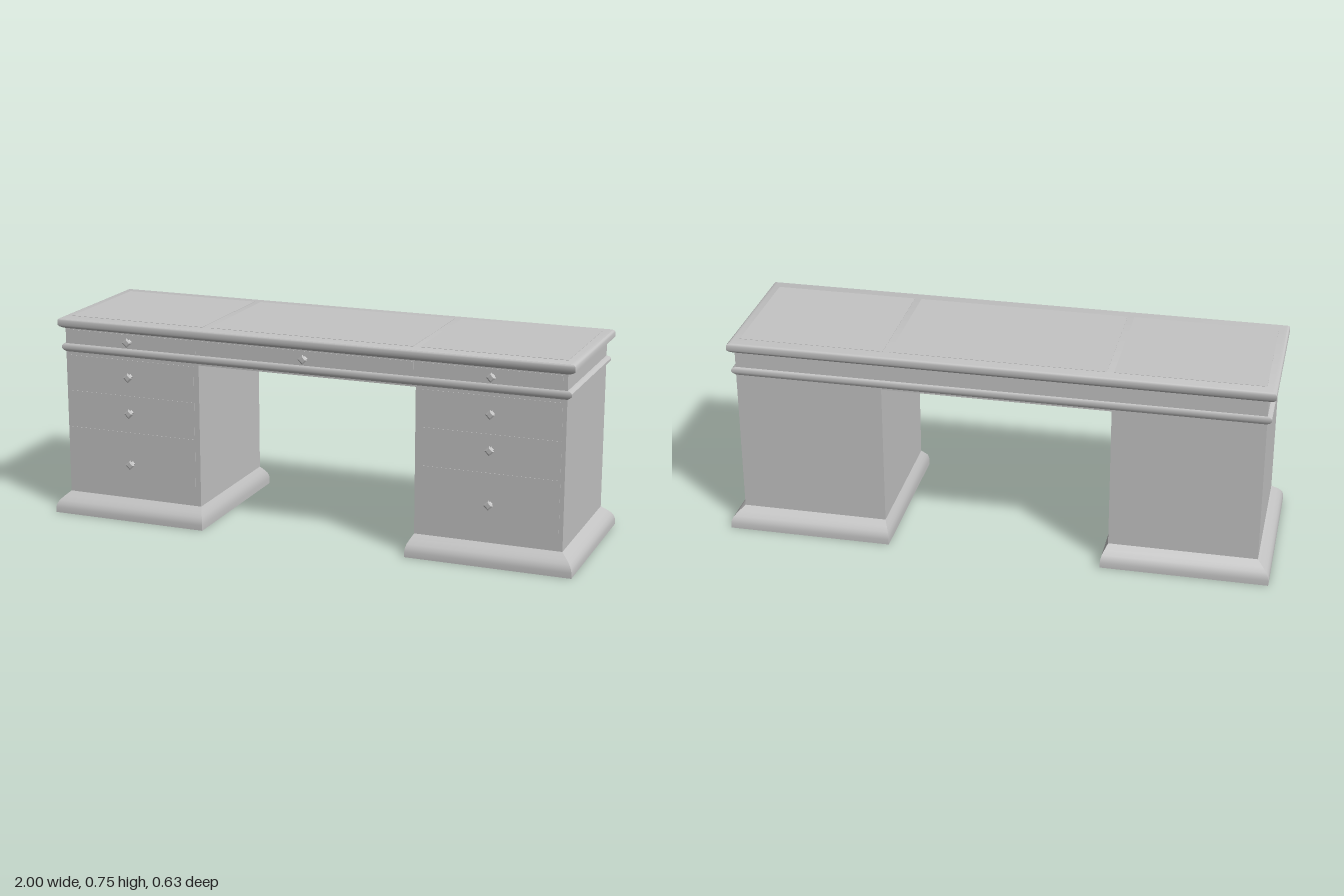
import * as THREE from 'three';
import { toCreasedNormals } from 'three/addons/utils/BufferGeometryUtils.js';

// Rectangular solid lofted through rings [y, x0, x1, z0, z1], with mitred corners.
function loft(rings) {
  const pos = [], idx = [];
  for (const [y, x0, x1, z0, z1] of rings) {
    pos.push(x0, y, z1, x1, y, z1, x1, y, z0, x0, y, z0);
  }
  for (let r = 0; r < rings.length - 1; r++) {
    for (let i = 0; i < 4; i++) {
      const a = r * 4 + i, b = r * 4 + (i + 1) % 4;
      idx.push(a, b, b + 4, a, b + 4, a + 4);
    }
  }
  const t = (rings.length - 1) * 4;
  idx.push(0, 2, 1, 0, 3, 2, t, t + 1, t + 2, t, t + 2, t + 3);
  const g = new THREE.BufferGeometry();
  g.setAttribute('position', new THREE.Float32BufferAttribute(pos, 3));
  g.setIndex(idx);
  return toCreasedNormals(g, 0.65);
}

export function createModel() {
  const desk = new THREE.Group();
  desk.name = 'pedestalDesk';
  const grey = new THREE.MeshStandardMaterial({ color: 0xc4c4c4 });
  grey.name = 'grey';

  const X = 0.955, INNER = 0.415, FRONT = 0.273, BACK = -0.27;

  function add(name, geometry, parent = desk) {
    const mesh = new THREE.Mesh(geometry, grey);
    mesh.name = name;
    parent.add(mesh);
    return mesh;
  }
  function box(name, x0, x1, y0, y1, z0, z1, parent) {
    const g = new THREE.BoxGeometry(x1 - x0, y1 - y0, z1 - z0);
    g.translate((x0 + x1) / 2, (y0 + y1) / 2, (z0 + z1) / 2);
    return add(name, g, parent);
  }
  // Moulding around the whole desk: profile of [y, fraction of the overhang]
  function moulding(name, profile, overX, overZ) {
    add(name, loft(profile.map(([y, f]) =>
      [y, -X - f * overX, X + f * overX, BACK - f * overZ, FRONT + f * overZ])));
  }

  // Table top, frieze and lower moulding
  moulding('tableTop', [[0.709, 0.2], [0.714, 0.7], [0.72, 1], [0.737, 1],
    [0.742, 0.9], [0.745, 0.7], [0.747, 0.35]], 0.027, 0.012);
  box('frieze', -X, X, 0.645, 0.712, BACK, FRONT);
  moulding('friezeMoulding', [[0.62, 0], [0.626, 0.6], [0.632, 1], [0.641, 1],
    [0.647, 0.7], [0.651, 0]], 0.016, 0.005);
  box('kneeholeCeiling', -INNER, INNER, 0.614, 0.63, BACK, FRONT);

  // Writing surface inlays
  for (const [x0, x1] of [[-0.945, -0.415], [-0.39, 0.39], [0.415, 0.945]]) {
    box('topInlay', x0, x1, 0.746, 0.748, -0.235, 0.235);
  }

  // Flared knob with a diamond-shaped face
  const knobProfile = [[0, 0], [0.011, 0], [0.008, 0.006], [0.01, 0.014],
    [0.018, 0.022], [0.018, 0.025], [0.011, 0.028], [0, 0.028]]
    .map(([r, z]) => new THREE.Vector2(r, z));
  const knobGeometry = toCreasedNormals(
    new THREE.LatheGeometry(knobProfile, 4).rotateX(Math.PI / 2), 0.3);
  function knob(x, y, parent) {
    add('knob', knobGeometry, parent).position.set(x, y, FRONT);
  }
  function drawer(x0, x1, y0, y1, knobY, parent) {
    box('drawerFront', x0, x1, y0, y1, FRONT - 0.004, FRONT + 0.0015, parent);
    knob(Math.abs(x0 + x1) < 0.01 ? 0 : Math.sign(x0) * 0.692, knobY, parent);
  }

  // Frieze drawers
  drawer(-0.94, -0.425, 0.657, 0.704, 0.678);
  drawer(-0.405, 0.405, 0.657, 0.704, 0.678);
  drawer(0.425, 0.94, 0.657, 0.704, 0.678);

  // Pedestals with flared plinths and three drawers each
  const plinth = [[0, 1], [0.02, 1], [0.033, 0.93], [0.046, 0.77],
    [0.06, 0.46], [0.078, 0]];
  for (const side of [-1, 1]) {
    const pedestal = new THREE.Group();
    pedestal.name = side > 0 ? 'leftPedestal' : 'rightPedestal';
    desk.add(pedestal);
    const span = (a, b) => side > 0 ? [a, b] : [-b, -a];
    box('cabinet', ...span(INNER, X), 0.07, 0.63, BACK, FRONT, pedestal);
    add('plinth', loft(plinth.map(([y, f]) =>
      [y, ...span(INNER - 0.022 * f, X + 0.045 * f), BACK - 0.045 * f, FRONT + 0.042 * f])), pedestal);
    const lift = side > 0 ? 0.008 : 0;
    const [d0, d1] = span(0.435, 0.94);
    drawer(d0, d1, 0.49, 0.608, 0.547, pedestal);
    drawer(d0, d1, 0.35, 0.472, 0.41 + lift, pedestal);
    drawer(d0, d1, 0.1, 0.332, 0.213 + lift, pedestal);
  }
  return desk;
}
